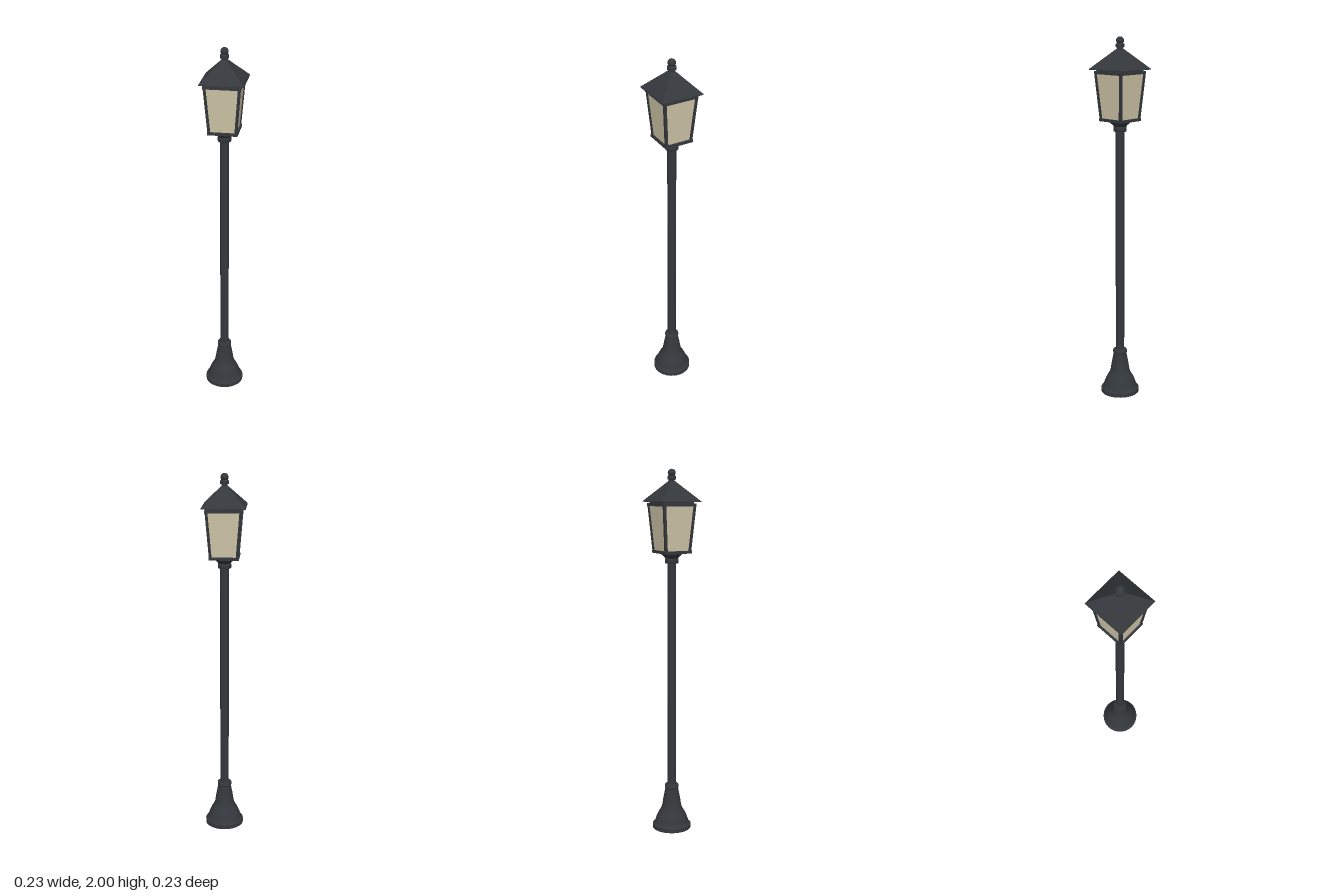
import * as THREE from 'three';
import { toCreasedNormals } from 'three/addons/utils/BufferGeometryUtils.js';

export function createModel() {
  const group = new THREE.Group();
  const iron = new THREE.MeshStandardMaterial({ color: 0x34383c });
  const glass = new THREE.MeshStandardMaterial({ color: 0xd0c6a8 });

  const add = (name, geometry, material = iron) => {
    const mesh = new THREE.Mesh(geometry, material);
    mesh.name = name;
    group.add(mesh);
    return mesh;
  };

  // Turned part from [radius, height] points, bottom to top
  const turned = (name, points) => add(name, toCreasedNormals(
    new THREE.LatheGeometry(points.map(([r, y]) => new THREE.Vector2(r, y)), 32), 0.6));

  // Square block with half-widths at its bottom and top
  const squareBlock = (name, bottom, top, y0, y1, material) => {
    const g = new THREE.CylinderGeometry(top * Math.SQRT2, bottom * Math.SQRT2, y1 - y0, 4);
    g.rotateY(Math.PI / 4).translate(0, (y0 + y1) / 2, 0);
    return add(name, toCreasedNormals(g, 0.3), material);
  };

  // Square bar between two points
  const up = new THREE.Vector3(0, 1, 0);
  const bar = (name, a, b, size) => {
    const mesh = add(name, new THREE.BoxGeometry(size, a.distanceTo(b), size));
    mesh.position.copy(a).add(b).multiplyScalar(0.5);
    mesh.quaternion.setFromUnitVectors(up, b.clone().sub(a).normalize());
  };

  // Flared foot with a ring at its neck
  turned('base', [
    [0, 0], [0.107, 0], [0.107, 0.022], [0.097, 0.03], [0.092, 0.045], [0.083, 0.07],
    [0.071, 0.095], [0.06, 0.112], [0.054, 0.13], [0.046, 0.18], [0.036, 0.232],
    [0.039, 0.236], [0.039, 0.25], [0.036, 0.255], [0, 0.255],
  ]);

  // Pole
  add('pole', new THREE.CylinderGeometry(0.024, 0.024, 1.28, 32).translate(0, 0.88, 0));

  // Collar carrying the lantern
  turned('collar', [
    [0, 1.5], [0.034, 1.5], [0.036, 1.504], [0.036, 1.522], [0.034, 1.527],
    [0.04, 1.535], [0.05, 1.543], [0.058, 1.55], [0.06, 1.56], [0, 1.56],
  ]);

  // Lantern
  squareBlock('bottomFrame', 0.08, 0.08, 1.555, 1.57);
  squareBlock('glassPanes', 0.071, 0.091, 1.57, 1.806, glass);
  squareBlock('topFrame', 0.098, 0.098, 1.805, 1.82);
  squareBlock('roofSeat', 0.088, 0.088, 1.82, 1.83);
  for (const sx of [-1, 1]) for (const sz of [-1, 1]) {
    bar('cornerPost',
      new THREE.Vector3(sx * 0.07, 1.562, sz * 0.07),
      new THREE.Vector3(sx * 0.09, 1.812, sz * 0.09), 0.014);
  }

  // Pyramid roof with a thin eave
  squareBlock('eave', 0.116, 0.116, 1.827, 1.831);
  squareBlock('roof', 0.116, 0.008, 1.831, 1.941);

  // Finial: neck with a ball on top
  turned('finialNeck', [
    [0, 1.925], [0.016, 1.925], [0.016, 1.942], [0.023, 1.944],
    [0.023, 1.961], [0.016, 1.965], [0, 1.965],
  ]);
  add('finialBall', new THREE.SphereGeometry(0.021, 24, 16).translate(0, 1.979, 0));

  return group;
}
